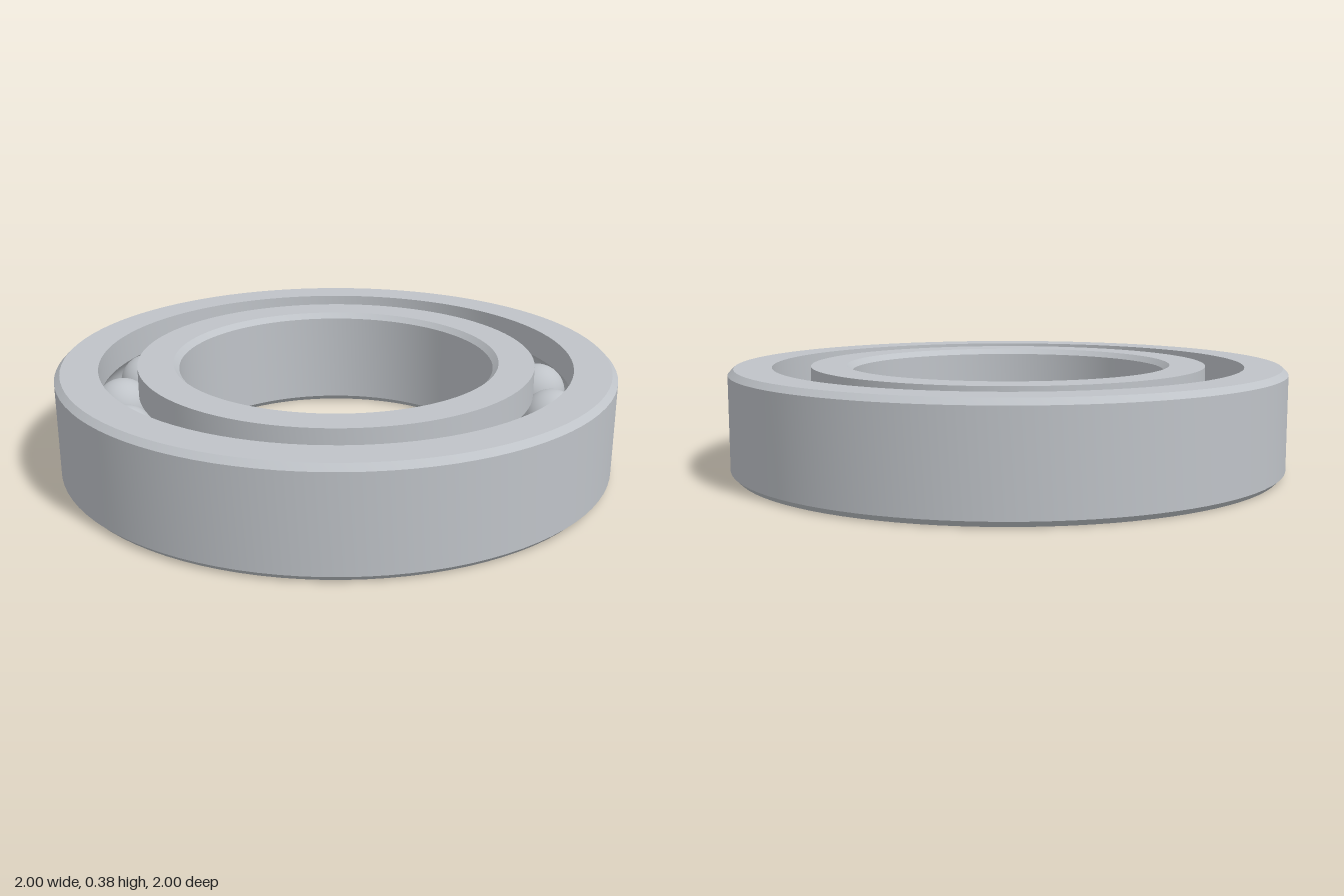
import * as THREE from 'three';
import { toCreasedNormals } from 'three/addons/utils/BufferGeometryUtils.js';

const HEIGHT = 0.375, MID = HEIGHT / 2, CHAMFER = 0.02;
const BALLS = 17, PITCH = 0.78, BALL_R = 0.104, GROOVE_R = 0.106, HALF_GAP = 0.068;

// Raceway arc, centred on the ball path, between two angles
function groove(from, to, steps = 12) {
  return Array.from({ length: steps + 1 }, (_, i) => {
    const a = from + (to - from) * i / steps;
    return [PITCH + GROOVE_R * Math.cos(a), MID + GROOVE_R * Math.sin(a)];
  });
}

// Turned ring from a closed profile running counter-clockwise in (radius, height)
function ring(name, profile, material) {
  const points = [...profile, profile[0]].map(([r, y]) => new THREE.Vector2(r, y));
  const geometry = toCreasedNormals(new THREE.LatheGeometry(points, 96), 0.45);
  const mesh = new THREE.Mesh(geometry, material);
  mesh.name = name;
  return mesh;
}

export function createModel() {
  const model = new THREE.Group();
  model.name = 'ballBearing';
  const steel = new THREE.MeshStandardMaterial({ color: 0xbfc3c8 });
  steel.name = 'steel';

  const half = Math.acos(HALF_GAP / GROOVE_R);
  const bore = 0.565, inner = PITCH - HALF_GAP, outer = PITCH + HALF_GAP;

  // Outer race: chamfered rim, groove on its inside
  model.add(ring('outerRace', [
    [outer, 0], [1 - CHAMFER, 0], [1, CHAMFER],
    [1, HEIGHT - CHAMFER], [1 - CHAMFER, HEIGHT], [outer, HEIGHT],
    ...groove(half, -half),
  ], steel));

  // Inner race: chamfered bore, groove on its outside
  model.add(ring('innerRace', [
    [bore + CHAMFER, 0], [inner, 0],
    ...groove(Math.PI + half, Math.PI - half),
    [inner, HEIGHT], [bore + CHAMFER, HEIGHT],
    [bore, HEIGHT - CHAMFER], [bore, CHAMFER],
  ], steel));

  // Evenly spaced balls, the first on +x
  const balls = new THREE.Group();
  balls.name = 'balls';
  const ballGeometry = new THREE.SphereGeometry(BALL_R, 32, 20);
  for (let i = 0; i < BALLS; i++) {
    const a = i / BALLS * Math.PI * 2;
    const ball = new THREE.Mesh(ballGeometry, steel);
    ball.name = 'ball';
    ball.position.set(PITCH * Math.cos(a), MID, PITCH * Math.sin(a));
    balls.add(ball);
  }
  model.add(balls);
  return model;
}
